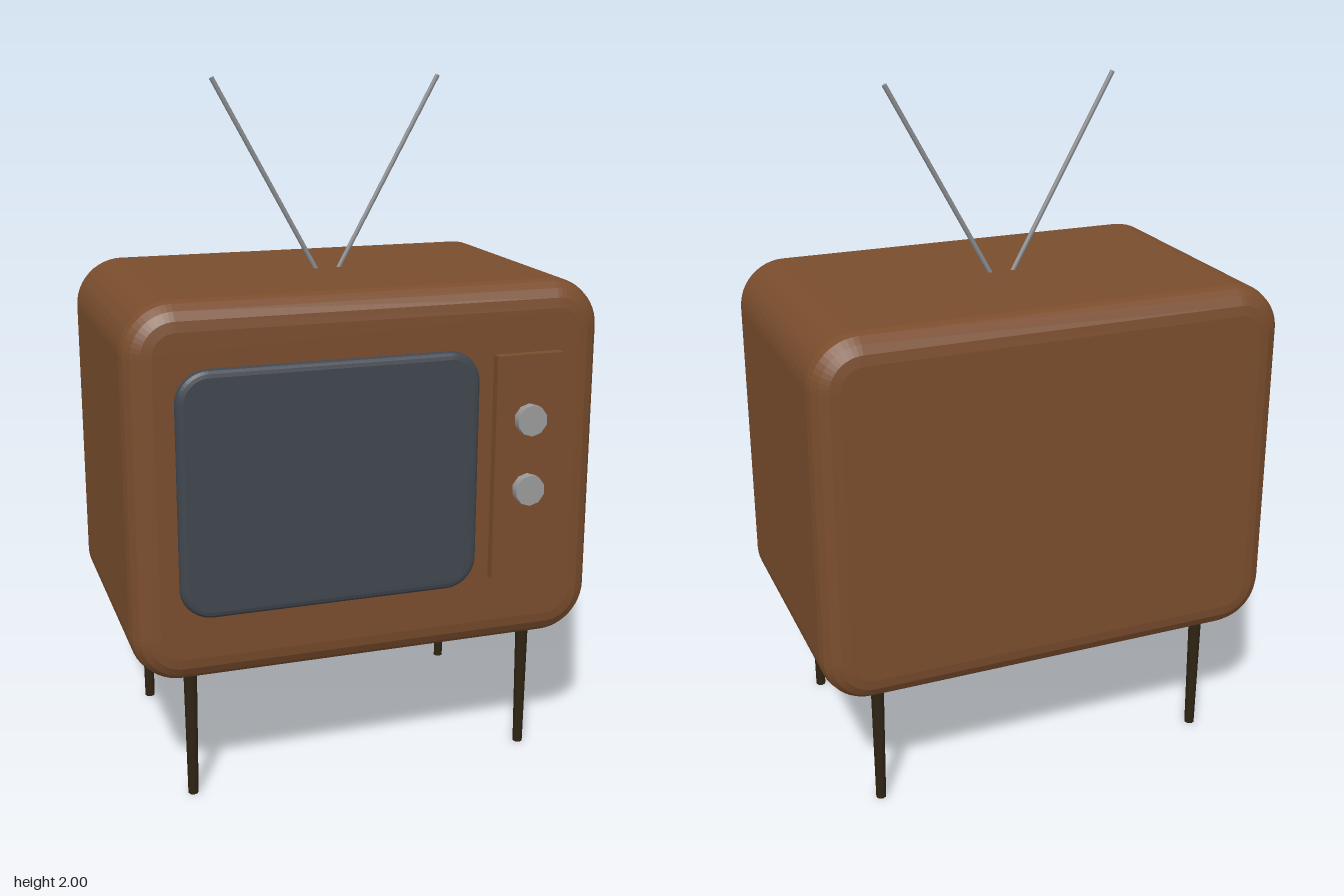
import * as THREE from 'three';

const mat = (name, color) => {
  const m = new THREE.MeshStandardMaterial({ color });
  m.name = name;
  return m;
};

// Rounded rectangle extruded along z with bevelled rims, given by its outer bounds
function roundedSlab(x0, x1, y0, y1, z0, z1, radius, bevel, depth, steps) {
  const a = x0 + bevel, b = x1 - bevel, c = y0 + bevel, d = y1 - bevel, r = radius - bevel;
  const s = new THREE.Shape();
  s.moveTo(a + r, c);
  s.lineTo(b - r, c);
  s.absarc(b - r, c + r, r, -Math.PI / 2, 0, false);
  s.lineTo(b, d - r);
  s.absarc(b - r, d - r, r, 0, Math.PI / 2, false);
  s.lineTo(a + r, d);
  s.absarc(a + r, d - r, r, Math.PI / 2, Math.PI, false);
  s.lineTo(a, c + r);
  s.absarc(a + r, c + r, r, Math.PI, Math.PI * 1.5, false);
  const geo = new THREE.ExtrudeGeometry(s, {
    depth: z1 - z0 - 2 * depth, bevelEnabled: true, bevelSize: bevel,
    bevelThickness: depth, bevelSegments: steps, curveSegments: 6,
  });
  return geo.translate(0, 0, z0 + depth);
}

export function createModel() {
  const group = new THREE.Group();
  group.name = 'television';
  const wood = mat('wood brown', 0x7a4d2d);
  const glass = mat('screen grey', 0x40464e);
  const metal = mat('knob grey', 0x9a9a9a);
  const steel = mat('antenna grey', 0x8a8c8f);
  const dark = mat('leg brown', 0x2e2413);

  const add = (name, geo, material, x = 0, y = 0, z = 0) => {
    const mesh = new THREE.Mesh(geo, material);
    mesh.name = name;
    mesh.position.set(x, y, z);
    group.add(mesh);
    return mesh;
  };

  // Cabinet, screen and control panel
  add('cabinet', roundedSlab(-0.685, 0.685, 0.385, 1.45, -0.455, 0.4, 0.14, 0.075, 0.065, 4), wood);
  add('screen', roundedSlab(-0.555, 0.305, 0.58, 1.275, 0.36, 0.424, 0.09, 0.02, 0.02, 3), glass);
  add('controlPanel', new THREE.BoxGeometry(0.2, 0.655, 0.06), wood, 0.45, 0.928, 0.398);

  // Knobs facing forward
  for (const y of [1.07, 0.865]) {
    const geo = new THREE.CylinderGeometry(0.045, 0.045, 0.05, 10).rotateX(Math.PI / 2);
    add('knob', geo, metal, 0.45, y, 0.43);
  }

  for (const side of [-1, 1]) {
    // Tapered legs
    for (const z of [0.305, -0.35]) {
      const geo = new THREE.CylinderGeometry(0.02, 0.015, 0.42, 8);
      add('leg', geo, dark, side * 0.512, 0.21, z);
    }
    // Splayed antenna rods
    const from = new THREE.Vector3(side * 0.025, 1.43, -0.025);
    const to = new THREE.Vector3(side * 0.337, 1.997, -0.025);
    const dir = to.clone().sub(from);
    const rod = add('antenna', new THREE.CylinderGeometry(0.007, 0.007, dir.length(), 8), steel);
    rod.position.copy(from).add(to).multiplyScalar(0.5);
    rod.quaternion.setFromUnitVectors(new THREE.Vector3(0, 1, 0), dir.normalize());
  }
  return group;
}
